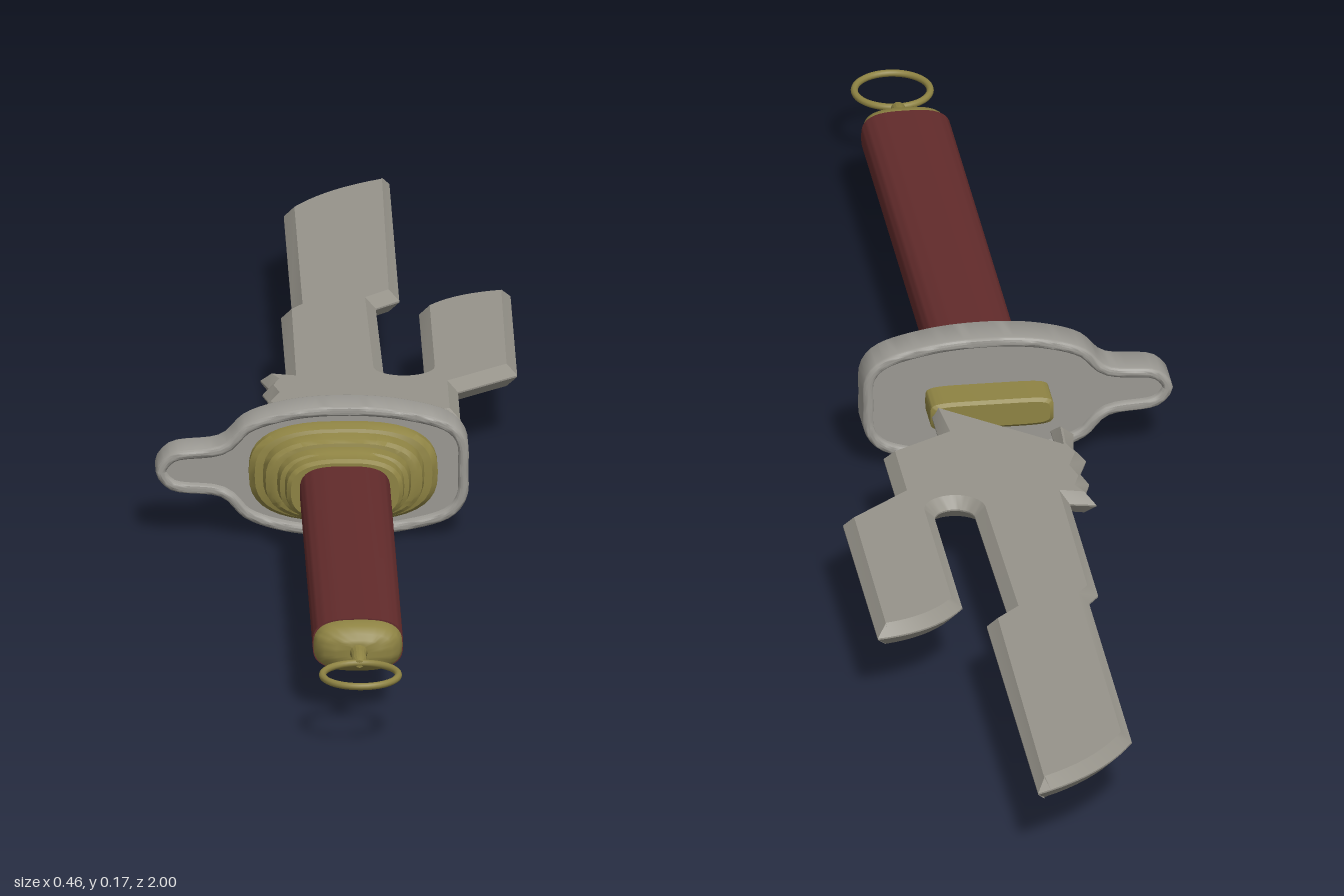
import * as THREE from 'three';
import { toCreasedNormals } from 'three/addons/utils/BufferGeometryUtils.js';

const Y = 0.087; // height of the long axis
const material = (name, color) => Object.assign(new THREE.MeshStandardMaterial({ color }), { name });
const vectors = (list) => list.map(([x, y]) => new THREE.Vector2(x, y));

// Skin of rounded cross-sections [z, halfWidth, halfHeight] along the axis, capped at both ends
function loft(sections, power = 2.8, sides = 40) {
  const pos = [], index = [];
  const rows = [[sections[0][0], 0, 0], ...sections, [sections.at(-1)[0], 0, 0]];
  const bend = (v) => Math.sign(v) * Math.abs(v) ** (2 / power);
  for (const [z, hx, hy] of rows)
    for (let i = 0; i < sides; i++) {
      const a = (i / sides) * Math.PI * 2;
      pos.push(hx * bend(Math.cos(a)), Y + hy * bend(Math.sin(a)), z);
    }
  for (let r = 0; r < rows.length - 1; r++)
    for (let i = 0; i < sides; i++) {
      const a = r * sides + i, b = r * sides + (i + 1) % sides;
      if (r > 0) index.push(a, b, a + sides);
      if (r < rows.length - 2) index.push(b, b + sides, a + sides);
      if (r === 0) index.push(a, b + sides, a + sides);
    }
  const geo = new THREE.BufferGeometry();
  geo.setAttribute('position', new THREE.Float32BufferAttribute(pos, 3));
  geo.setIndex(index);
  return toCreasedNormals(geo, 0.6);
}

// Moves a closed counter-clockwise outline inwards by a distance
function inset(points, d) {
  const n = points.length;
  return points.map((p, i) => {
    const t = points[(i + 1) % n].clone().sub(points[(i + n - 1) % n]).normalize();
    return new THREE.Vector2(p.x - t.y * d, p.y + t.x * d);
  });
}

// Forked blade: outline as [x, z], with sharpened edges all round
function bladeGeometry() {
  const s = new THREE.Shape();
  const line = (list) => list.forEach(([x, z]) => s.lineTo(x, -z));
  s.moveTo(-0.065, 0.06);
  line([[0.075, 0.06], [0.075, -0.015], [0.15, -0.06], [0.15, -0.17], [0.225, -0.235], [0.225, -0.55]]);
  s.quadraticCurveTo(0.15, 0.54, 0.11, 0.48); // short prong tip
  line([[0.11, -0.235]]);
  s.absarc(0.085, 0.235, 0.025, 0, -Math.PI, true); // notch between prongs
  line([[0.057, -0.505], [0.087, -0.535], [0.087, -1]]);
  s.quadraticCurveTo(0.0, 0.96, -0.047, 0.875); // main tip
  line([[-0.047, -0.49], [-0.061, -0.47], [-0.061, -0.215], [-0.093, -0.222],
    [-0.084, -0.19], [-0.092, -0.165], [-0.085, -0.135], [-0.097, -0.1],
    [-0.086, -0.065], [-0.092, -0.025], [-0.065, -0.012]]);
  const geo = new THREE.ExtrudeGeometry(s, {
    depth: 0.002, bevelEnabled: true, bevelSegments: 1, curveSegments: 10,
    bevelThickness: 0.0135, bevelSize: 0.013, bevelOffset: -0.013,
  });
  geo.rotateX(-Math.PI / 2).translate(0, Y - 0.001, 0);
  return toCreasedNormals(geo, 0.5);
}

// Hand guard outline, front view, counter-clockwise
function guardOutline() {
  const pts = [[0.155, 0.087], [0.153, 0.125], [0.135, 0.147], [0.075, 0.165], [0, 0.171], [-0.07, 0.165],
    [-0.122, 0.148], [-0.15, 0.122], [-0.215, 0.111], [-0.232, 0.087], [-0.215, 0.064], [-0.15, 0.053],
    [-0.122, 0.026], [-0.07, 0.008], [0, 0.002], [0.075, 0.008], [0.135, 0.026], [0.153, 0.05]];
  const curve = new THREE.CatmullRomCurve3(pts.map(([x, y]) => new THREE.Vector3(x, y, 0)), true);
  return vectors(curve.getSpacedPoints(90).slice(0, 90).map((p) => [p.x, p.y]));
}

export function createModel() {
  const steel = material('blade steel', 0x96938a);
  const guardSteel = material('guard steel', 0x9b9993);
  const brass = material('brass', 0x8e8343);
  const red = material('red grip', 0x622b2b);

  const group = new THREE.Group();
  group.name = 'sword';
  const add = (name, geo, mat) => {
    const mesh = new THREE.Mesh(geo, mat);
    mesh.name = name;
    group.add(mesh);
    return mesh;
  };

  add('blade', bladeGeometry(), steel);

  // Guard: raised rim around a recessed plate
  const outline = guardOutline();
  const rimShape = new THREE.Shape(outline);
  rimShape.holes.push(new THREE.Path(inset(outline, 0.013).reverse()));
  const rim = new THREE.ExtrudeGeometry(rimShape, {
    depth: 0.042, bevelEnabled: true, bevelSegments: 3,
    bevelThickness: 0.006, bevelSize: 0.005, bevelOffset: -0.005,
  }).translate(0, 0, 0.091);
  add('guardRim', toCreasedNormals(rim, 0.7), guardSteel);
  const plate = new THREE.ExtrudeGeometry(new THREE.Shape(inset(outline, 0.008)), {
    depth: 0.036, bevelEnabled: false,
  }).translate(0, 0, 0.094);
  add('guardPlate', plate, guardSteel);

  // Collars either side of the guard
  add('bladeCollar', loft([[0.043, 0.072, 0.015], [0.047, 0.077, 0.019], [0.1, 0.077, 0.019]], 6), brass);
  add('steppedCollar', loft([
    [0.125, 0.117, 0.063], [0.142, 0.117, 0.063], [0.15, 0.11, 0.059], [0.152, 0.1, 0.055],
    [0.172, 0.097, 0.053], [0.177, 0.091, 0.049], [0.178, 0.083, 0.045], [0.195, 0.08, 0.044],
    [0.198, 0.074, 0.042], [0.214, 0.072, 0.041], [0.219, 0.067, 0.037],
  ], 2.7), brass);

  // Grip
  add('grip', loft([[0.2, 0.056, 0.033], [0.825, 0.056, 0.033]], 3), red);

  // Pommel with stem and ring
  add('pommel', loft([
    [0.82, 0.054, 0.031], [0.828, 0.055, 0.032], [0.842, 0.051, 0.029], [0.852, 0.042, 0.022],
    [0.858, 0.028, 0.015], [0.86, 0.012, 0.011],
  ], 2.8), brass);
  add('pommelStem', loft([[0.855, 0.012, 0.011], [0.87, 0.009, 0.009], [0.897, 0.009, 0.009],
    [0.905, 0.005, 0.005]], 2, 16), brass);
  const ring = add('pommelRing', new THREE.TorusGeometry(0.047, 0.0045, 10, 40), brass);
  ring.rotation.x = Math.PI / 2;
  ring.position.set(0, Y, 0.948);

  return group;
}
